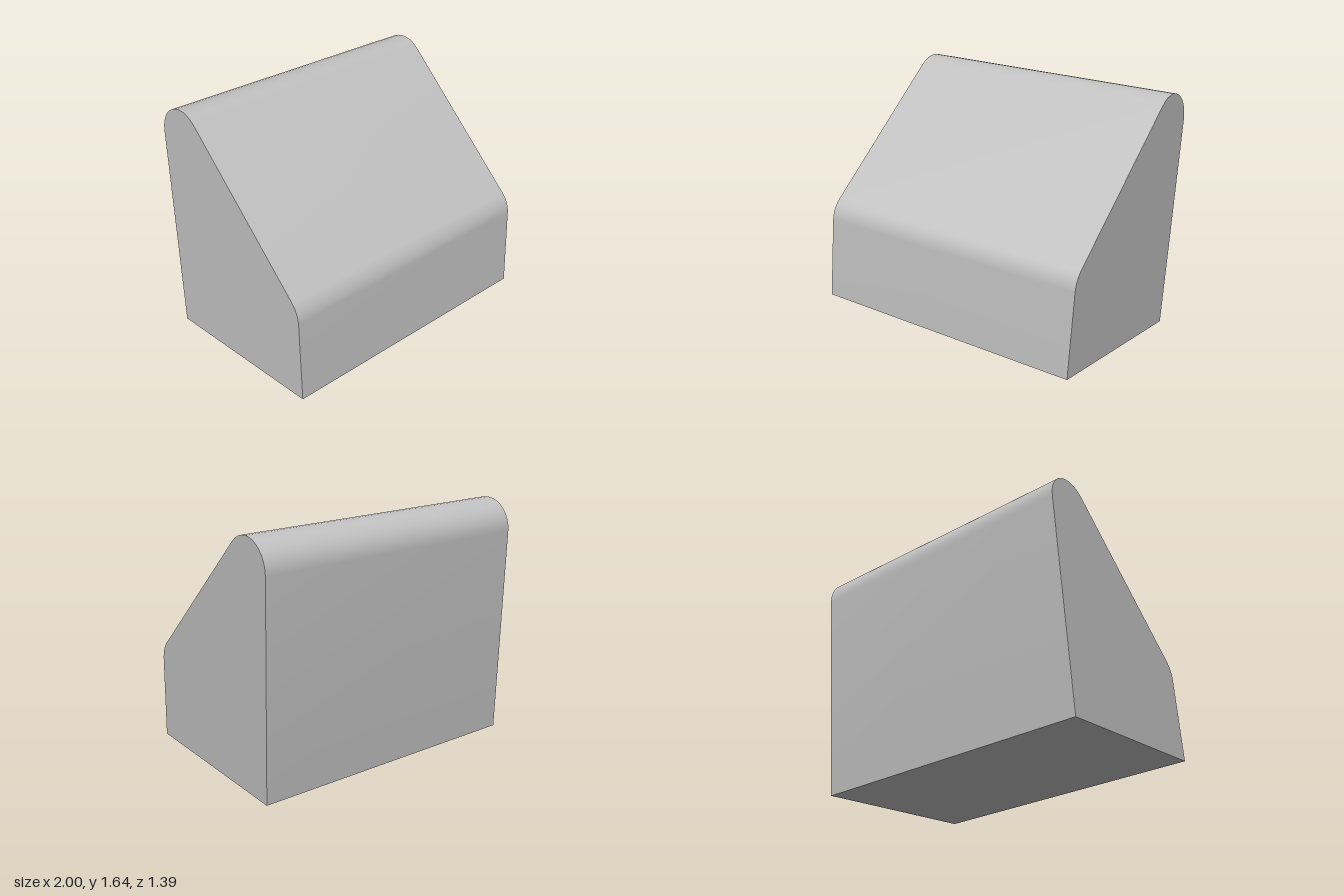
import * as THREE from 'three';
import { toCreasedNormals } from 'three/addons/utils/BufferGeometryUtils.js';

export function createModel() {
  const model = new THREE.Group();
  const grey = new THREE.MeshStandardMaterial({ color: 0xc0c0c0 });
  grey.name = 'grey';

  // Side profile: front wall at 0, back wall at depth, rounded brow and ridge
  const depth = 1.193, radius = 0.19, backHeight = 1.378, frontHeight = 0.534;
  const slope = Math.atan2(backHeight - frontHeight, depth - 2 * radius);
  const slopeNormal = slope + Math.PI / 2;
  const profile = new THREE.Shape();
  profile.moveTo(0, 0);
  profile.lineTo(depth, 0);
  profile.lineTo(depth, backHeight);
  profile.absarc(depth - radius, backHeight, radius, 0, slopeNormal, false);
  profile.absarc(radius, frontHeight, radius, slopeNormal, Math.PI, false);
  profile.closePath();

  // Extrude along the width, then tilt the whole block
  const start = new THREE.Vector3(-1, 0.143, 0.583);
  const end = new THREE.Vector3(0.882, 0.083, 0.693);
  const width = end.clone().sub(start);
  let geometry = new THREE.ExtrudeGeometry(profile, {
    depth: width.length(), bevelEnabled: false, curveSegments: 6,
  });
  const across = width.clone().normalize();
  const back = new THREE.Vector3(0, -0.0669, -0.9977);
  back.addScaledVector(across, -back.dot(across)).normalize();
  const up = new THREE.Vector3().crossVectors(across, back);
  geometry.applyMatrix4(new THREE.Matrix4().makeBasis(back, up, across).setPosition(start));
  geometry = toCreasedNormals(geometry, 0.6);

  const block = new THREE.Mesh(geometry, grey);
  block.name = 'wedgeBlock';
  model.add(block);
  return model;
}
